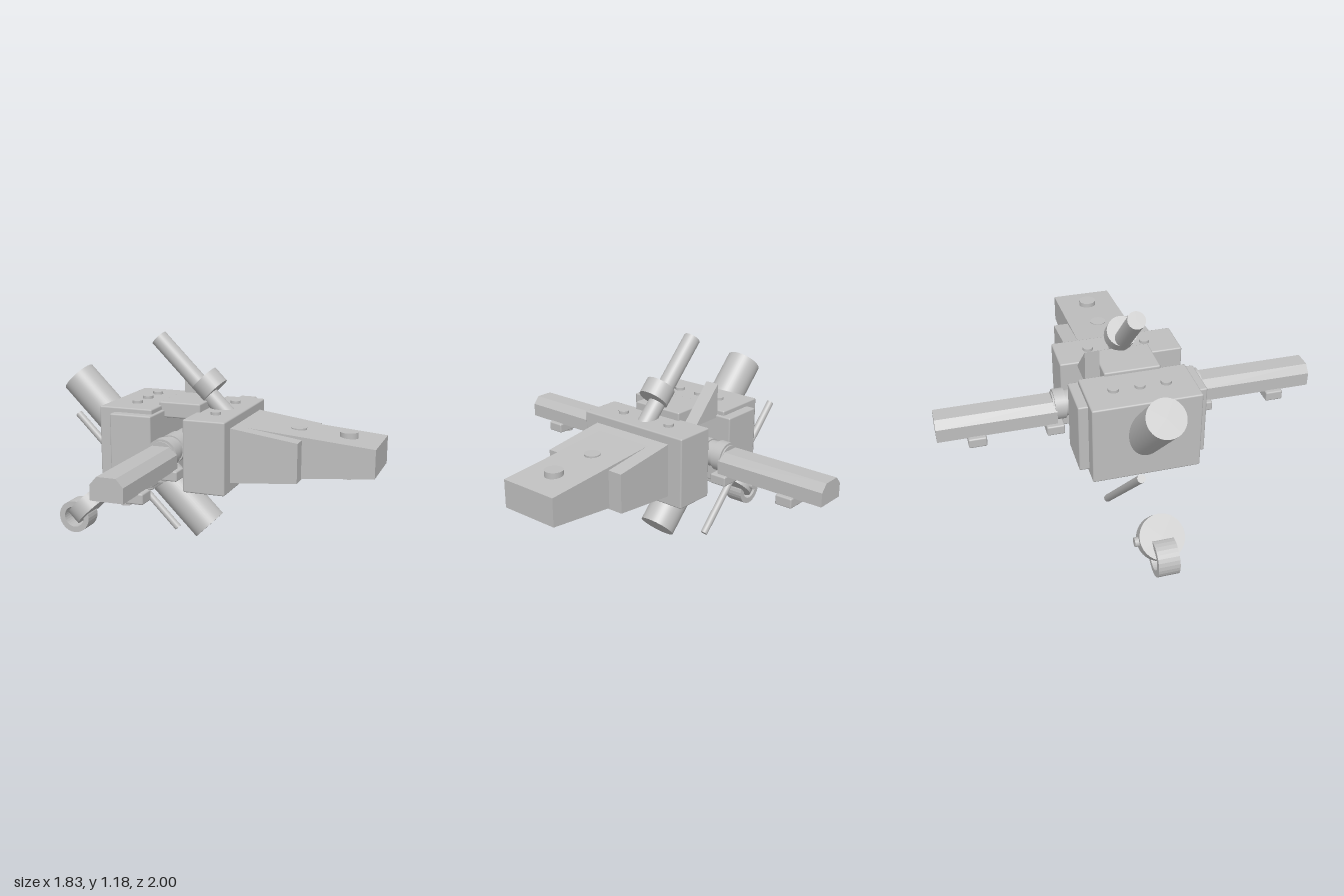
import * as THREE from 'three';
import { RoundedBoxGeometry } from 'three/addons/geometries/RoundedBoxGeometry.js';

export function createModel() {
  const model = new THREE.Group();
  const grey = new THREE.MeshStandardMaterial({ color: 0xbfbfbf });
  grey.name = 'plain grey';

  const add = (name, geometry) => {
    const mesh = new THREE.Mesh(geometry, grey);
    mesh.name = name;
    model.add(mesh);
    return mesh;
  };
  // Box given by its limits on each axis
  const box = (name, x0, x1, y0, y1, z0, z1, r = 0.008) =>
    add(name, new RoundedBoxGeometry(x1 - x0, y1 - y0, z1 - z0, 1, r))
      .position.set((x0 + x1) / 2, (y0 + y1) / 2, (z0 + z1) / 2);
  // Cylinder running between two points
  const rod = (name, a, b, r, sides = 32) => {
    const p = new THREE.Vector3(...a), q = new THREE.Vector3(...b);
    const mesh = add(name, new THREE.CylinderGeometry(r, r, p.distanceTo(q), sides));
    mesh.position.copy(p).add(q).multiplyScalar(0.5);
    mesh.quaternion.setFromUnitVectors(new THREE.Vector3(0, 1, 0), q.sub(p).normalize());
  };
  // Outline in x and y, extruded along z
  const prism = (name, points, z0, z1) => {
    const shape = new THREE.Shape(points.map(([x, y]) => new THREE.Vector2(x, y)));
    add(name, new THREE.ExtrudeGeometry(shape, { depth: z1 - z0, bevelEnabled: false }))
      .position.z = z0;
  };

  // Rear and front blocks
  box('rearBlock', -0.52, -0.225, 0.38, 0.81, -0.28, 0.28);
  box('rearCheekBlock', -0.44, -0.21, 0.405, 0.785, -0.33, 0.33);
  box('frontBlock', -0.035, 0.19, 0.405, 0.785, -0.33, 0.33);
  for (const z of [-0.135, 0, 0.135]) rod('rearBlockBolt', [-0.37, 0.79, z], [-0.37, 0.825, z], 0.028, 20);
  for (const z of [-0.155, 0.155]) rod('frontBlockBolt', [0.08, 0.77, z], [0.08, 0.8, z], 0.027, 20);

  // Tapered nose with a wider root
  prism('nose', [[0.18, 0.456], [0.91, 0.526], [0.91, 0.673], [0.18, 0.736]], -0.165, 0.165);
  prism('noseRoot', [[0.18, 0.453], [0.54, 0.485], [0.54, 0.69], [0.18, 0.74]], -0.245, 0.245);
  rod('noseBoltOuter', [0.742, 0.475, 0], [0.742, 0.715, 0], 0.047);
  rod('noseBoltInner', [0.48, 0.455, 0], [0.48, 0.717, 0], 0.042);

  // Bridge plate and sloping fin
  box('bridgePlate', -0.24, -0.01, 0.745, 0.828, -0.148, 0.148);
  prism('fin', [[-0.22, 0.77], [-0.04, 0.77], [-0.22, 0.955]], -0.24, -0.165);

  // Side arms with collars, foot plates and bolts
  const armX = -0.122;
  rod('axle', [armX, 0.61, -0.4], [armX, 0.61, 0.4], 0.068);
  const profile = [[-0.205, 0.542], [-0.04, 0.542], [-0.04, 0.615], [-0.075, 0.655], [-0.17, 0.655], [-0.205, 0.615]];
  for (const s of [-1, 1]) {
    prism('arm', profile, s > 0 ? 0.385 : -1, s > 0 ? 1 : -0.385);
    rod('armCollar', [armX, 0.61, s * 0.335], [armX, 0.61, s * 0.392], 0.08);
    rod('innerCollar', [armX, 0.61, s * 0.17], [armX, 0.61, s * 0.28], 0.075);
    for (const z of [0.4, 0.8]) {
      box('footPlate', -0.23, -0.018, 0.492, 0.545, s * z - 0.047, s * z + 0.047);
      rod('footBolt', [armX, 0.475, s * z], [armX, 0.5, s * z], 0.026, 20);
    }
  }

  // Slanted cylinders
  rod('mainCylinder', [-0.79, 0.905, 0], [-0.012, 0.127, 0], 0.097, 48);
  rod('upperTube', [-0.3, 1.143, 0], [0.09, 0.753, 0], 0.046);
  rod('upperTubeCollar', [-0.043, 0.941, 0], [0.02, 0.878, 0], 0.081);
  rod('thinRod', [-0.878, 0.66, -0.14], [-0.258, 0.035, -0.14], 0.02, 20);

  // Loose disc with a ring hooked through it
  rod('disc', [-0.787, 0.19, 0], [-0.727, 0.13, 0], 0.115, 32);
  rod('discKnob', [-0.757, 0.16, -0.135], [-0.757, 0.16, -0.09], 0.024, 16);
  const ring = new THREE.Shape().absarc(0, 0, 0.093, 0, Math.PI * 2);
  ring.holes.push(new THREE.Path().absarc(0, 0, 0.06, 0, Math.PI * 2, true));
  add('ring', new THREE.ExtrudeGeometry(ring, { depth: 0.11, bevelEnabled: false, curveSegments: 14 }))
    .position.set(-0.825, 0.093, -0.055);

  return model;
}
